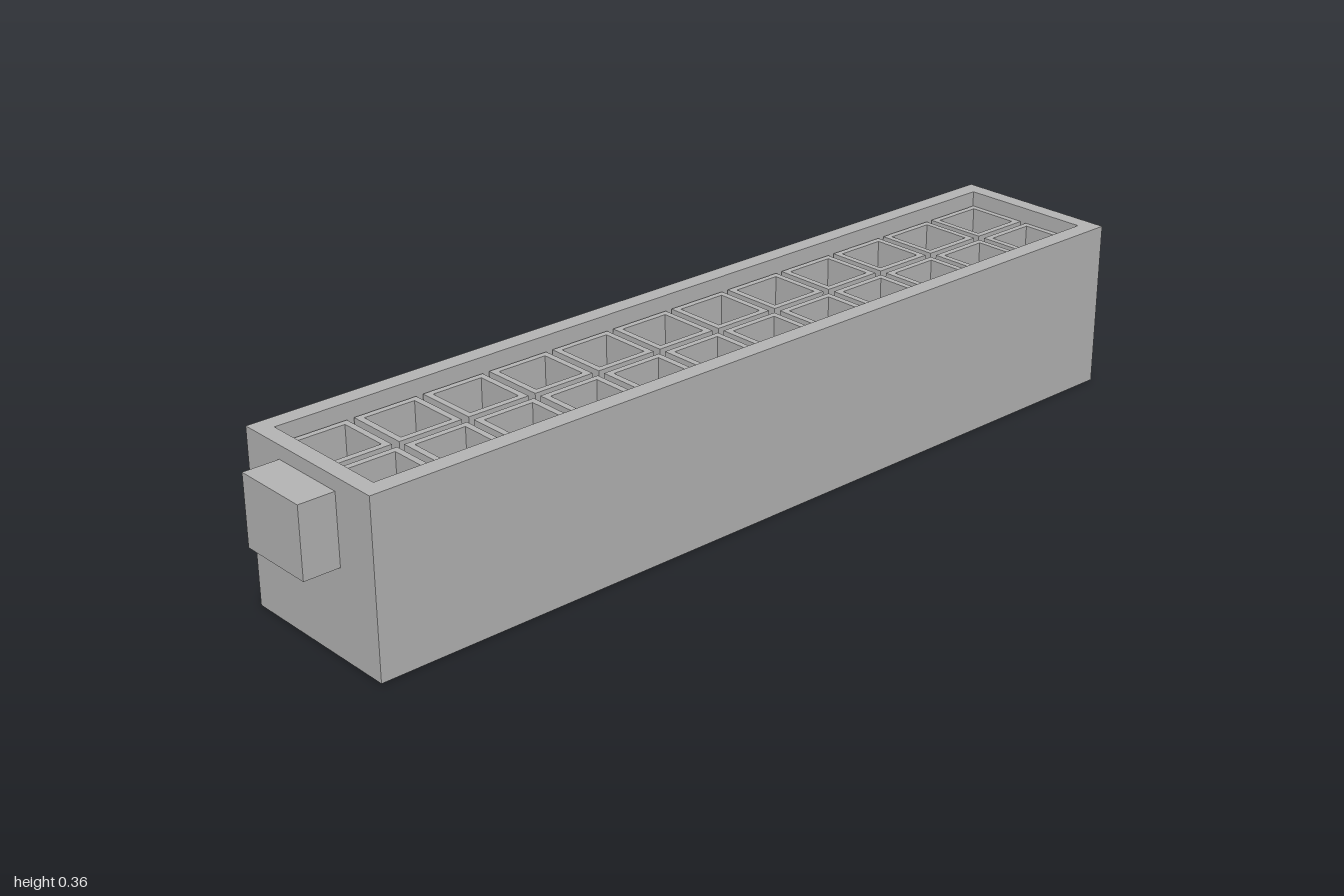
import * as THREE from 'three';

const grey = new THREE.MeshStandardMaterial({ color: 0xb3b3b3 });
grey.name = 'grey plastic';

// Rectangular outline centred on the origin
function outline(path, w, d) {
  path.moveTo(-w / 2, -d / 2);
  path.lineTo(w / 2, -d / 2);
  path.lineTo(w / 2, d / 2);
  path.lineTo(-w / 2, d / 2);
  path.closePath();
  return path;
}

// Upright rectangular tube, open at the top, standing on y = 0
function tube(w, d, innerW, innerD, h) {
  const shape = outline(new THREE.Shape(), w, d);
  shape.holes.push(outline(new THREE.Path(), innerW, innerD));
  const geo = new THREE.ExtrudeGeometry(shape, { depth: h, bevelEnabled: false });
  return geo.rotateX(-Math.PI / 2);
}

function add(parent, name, geo, x, y, z) {
  const mesh = new THREE.Mesh(geo, grey);
  mesh.name = name;
  mesh.position.set(x, y, z);
  parent.add(mesh);
  return mesh;
}

export function createModel() {
  const model = new THREE.Group();
  model.name = 'connectorHousing';

  const height = 0.362, width = 0.376, length = 1.924, floor = 0.04;
  const midZ = -0.038, cavityZ = -0.042;

  // Outer housing: walls around the cavity, with a closed floor
  add(model, 'housingWalls', tube(width, length, 0.3, 1.854, height), 0, 0, midZ);
  add(model, 'housingFloor', new THREE.BoxGeometry(0.3, floor, 1.854), 0, floor / 2, midZ);

  // Latch block on the front end
  add(model, 'latch', new THREE.BoxGeometry(0.17, 0.147, 0.076), 0, 0.2595, 0.962);

  // Two rows of twelve sockets, each with a square contact pin
  const socketGeo = tube(0.139, 0.139, 0.112, 0.112, 0.29);
  const pinGeo = new THREE.BoxGeometry(0.034, 0.14, 0.034);
  const pitch = 0.1547;
  for (let i = 0; i < 12; i++) {
    for (const side of [-1, 1]) {
      const socket = new THREE.Group();
      socket.name = 'socket';
      socket.position.set(side * 0.077, floor, cavityZ + (i - 5.5) * pitch);
      add(socket, 'socketWalls', socketGeo, 0, 0, 0);
      add(socket, 'contactPin', pinGeo, 0, 0.07, 0);
      model.add(socket);
    }
  }
  return model;
}
